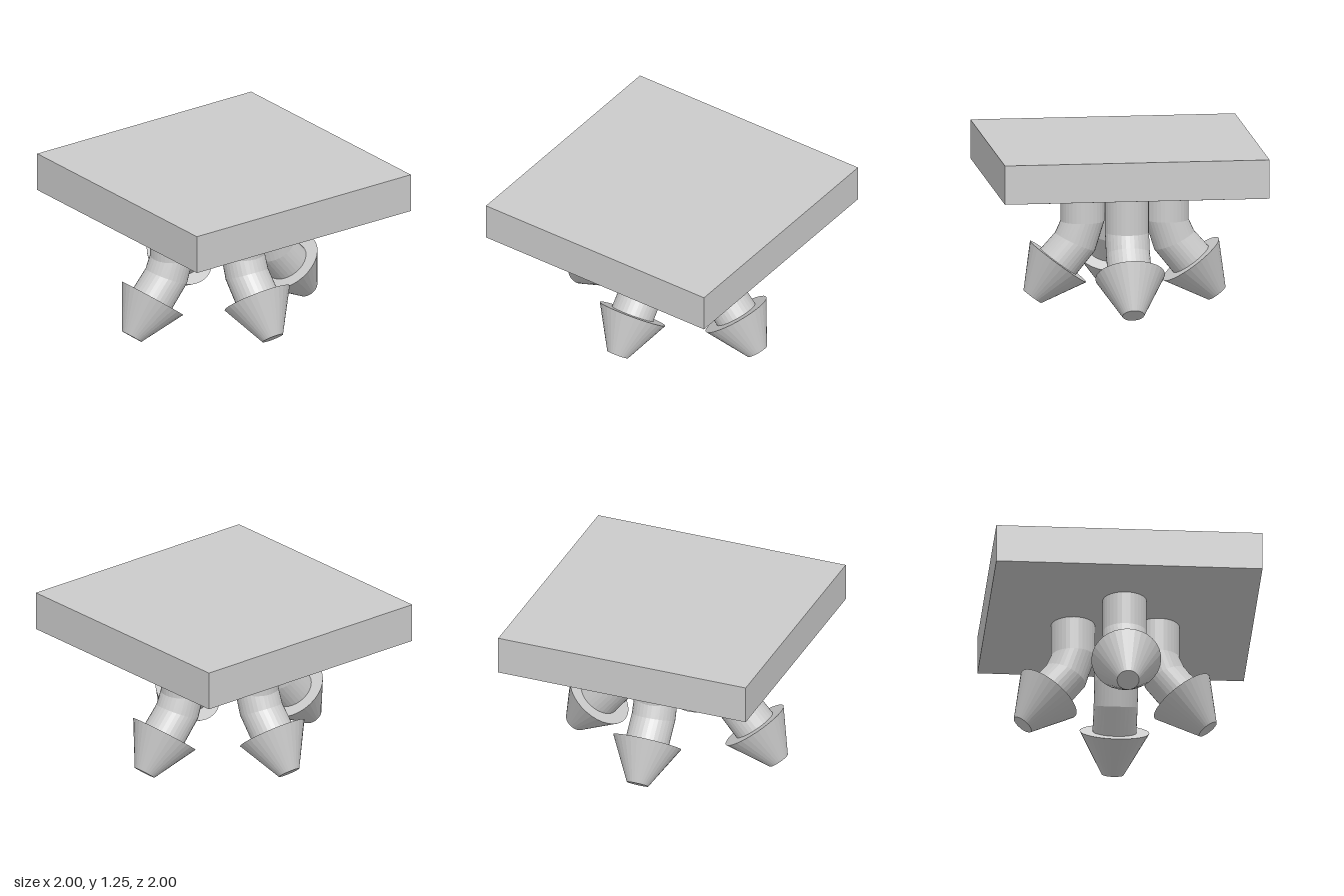
import * as THREE from 'three';

const SIDES = 32;
const TILT = 0.639; // final outward angle of a nozzle, measured from straight down

// Sweep a circle through a few [z, y, tilt] stations in the YZ plane
function bentPipe(stations, radius) {
  const positions = [], indices = [];
  for (const [z, y, tilt] of stations) {
    for (let i = 0; i < SIDES; i++) {
      const a = (i / SIDES) * Math.PI * 2;
      const n = radius * Math.sin(a);
      positions.push(radius * Math.cos(a), y + n * Math.sin(tilt), z + n * Math.cos(tilt));
    }
  }
  for (let j = 0; j < stations.length - 1; j++) {
    for (let i = 0; i < SIDES; i++) {
      const k = (i + 1) % SIDES;
      const a = j * SIDES + i, b = j * SIDES + k;
      indices.push(a, b, b + SIDES, a, b + SIDES, a + SIDES);
    }
  }
  const geometry = new THREE.BufferGeometry();
  geometry.setAttribute('position', new THREE.Float32BufferAttribute(positions, 3));
  geometry.setIndex(indices);
  geometry.computeVertexNormals();
  return geometry;
}

export function createModel() {
  const model = new THREE.Group();
  model.name = 'nozzleBlock';
  const material = new THREE.MeshStandardMaterial({ color: 0xcccccc, flatShading: true });

  const addMesh = (parent, name, geometry) => {
    const mesh = new THREE.Mesh(geometry, material);
    mesh.name = name;
    parent.add(mesh);
    return mesh;
  };

  // Square slab with a bevelled underside: a four-sided lathe, half-widths as radii
  const profile = [[0, 0.896], [0.663, 0.896], [1, 0.957], [1, 1.252], [0, 1.252]]
    .map(([half, y]) => new THREE.Vector2(half * Math.SQRT2, y));
  addMesh(model, 'slab', new THREE.LatheGeometry(profile, 4, Math.PI / 4));

  // Pipe drops straight down, then bends outward into the cone
  const pipe = bentPipe([
    [0, 0.95, 0],
    [0, 0.638, 0],
    [0.055, 0.48, 0.435],
    [0.19, 0.32, TILT],
  ], 0.165);

  // Truncated cone with its wide end around the pipe
  const cone = new THREE.CylinderGeometry(0.262, 0.0825, 0.327, SIDES);
  cone.rotateX(-TILT);
  cone.translate(0, 0.199, 0.28);

  // Four nozzles, each turned to point outward
  const nozzles = [
    ['front', 0, 0, 0.485, 0],
    ['left', 0.28, 0, 0.035, Math.PI / 2],
    ['back', 0, -0.017, -0.405, Math.PI],
    ['right', -0.355, 0, 0.017, -Math.PI / 2],
  ];
  for (const [side, x, y, z, turn] of nozzles) {
    const nozzle = new THREE.Group();
    nozzle.name = side + 'Nozzle';
    nozzle.position.set(x, y, z);
    nozzle.rotation.y = turn;
    addMesh(nozzle, side + 'Pipe', pipe);
    addMesh(nozzle, side + 'Cone', cone);
    model.add(nozzle);
  }
  return model;
}
